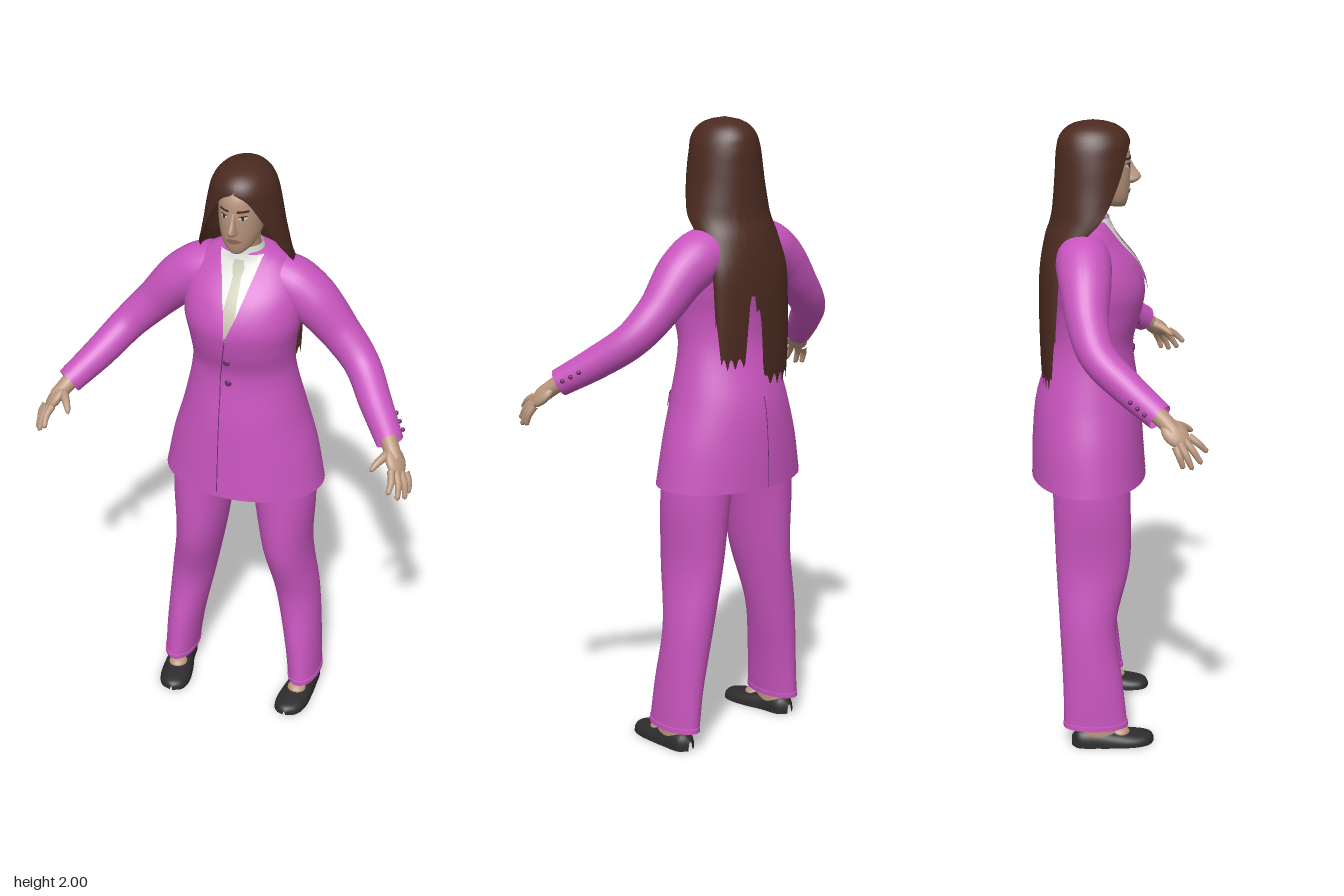
import * as THREE from 'three';
import { mergeVertices } from 'three/addons/utils/BufferGeometryUtils.js';

const { lerp, clamp } = THREE.MathUtils;
const mat = (name, color, side = THREE.FrontSide) => {
  const m = new THREE.MeshStandardMaterial({ color, side });
  m.name = name;
  return m;
};

// Smooth surface from a grid of points fn(u, v) -> [x, y, z]
function surface(nu, nv, fn) {
  const pos = [], idx = [];
  for (let j = 0; j <= nv; j++) for (let i = 0; i <= nu; i++) pos.push(...fn(i / nu, j / nv));
  for (let j = 0; j < nv; j++) for (let i = 0; i < nu; i++) {
    const a = j * (nu + 1) + i, b = a + 1, c = b + nu, d = c + 1;
    idx.push(a, b, d, a, d, c);
  }
  let g = new THREE.BufferGeometry();
  g.setAttribute('position', new THREE.Float32BufferAttribute(pos, 3));
  g.setIndex(idx);
  g = mergeVertices(g, 1e-5);
  g.computeVertexNormals();
  return g;
}

// Smoothly interpolate a table of rows whose first column ascends
function at(rows, k) {
  const n = rows.length - 1;
  k = clamp(k, rows[0][0], rows[n][0]);
  let i = 0;
  while (i < n - 1 && k > rows[i + 1][0]) i++;
  const slope = (q, c) => {
    const a = rows[Math.max(q - 1, 0)], b = rows[Math.min(q + 1, n)];
    return (b[c] - a[c]) / (b[0] - a[0]);
  };
  const h = rows[i + 1][0] - rows[i][0], t = (k - rows[i][0]) / h, t2 = t * t, t3 = t2 * t;
  return rows[i].map((p, c) => (2 * t3 - 3 * t2 + 1) * p + (t3 - 2 * t2 + t) * h * slope(i, c)
    + (3 * t2 - 2 * t3) * rows[i + 1][c] + (t3 - t2) * h * slope(i + 1, c));
}

// Stack of horizontal ellipses, rows [y, cx, cz, rx, rz]
function loft(rows, capLow, capHigh, nv = 40, nu = 40) {
  const y0 = rows[0][0], y1 = rows[rows.length - 1][0];
  return surface(nu, nv, (u, v) => {
    const j = Math.round(v * nv), y = lerp(y0, y1, clamp((j - 1) / (nv - 2), 0, 1));
    const [, cx, cz, rx, rz] = at(rows, y);
    const s = (j === 0 && capLow) || (j === nv && capHigh) ? 0 : 1;
    const a = (u === 1 ? 0 : u) * Math.PI * 2;
    return [cx + s * rx * Math.sin(a), y, cz + s * rz * Math.cos(a)];
  });
}

// Round limb along points [x, y, z, radius]
function limb(pts, side, nv = 24, nu = 20) {
  const curve = new THREE.CatmullRomCurve3(pts.map(p => new THREE.Vector3(p[0] * side, p[1], p[2])));
  const f = curve.computeFrenetFrames(nv), n = pts.length - 1;
  return surface(nu, nv, (u, v) => {
    const j = Math.round(v * nv), t = curve.getUtoTmapping(v) * n, i = Math.min(Math.floor(t), n - 1);
    const r = lerp(pts[i][3], pts[i + 1][3], t - i), a = (u === 1 ? 0 : u) * Math.PI * 2;
    return curve.getPointAt(v).addScaledVector(f.normals[j], r * Math.cos(a))
      .addScaledVector(f.binormals[j], r * Math.sin(a)).toArray();
  });
}

// Thin panel lying on a loft, rows [y, x0, x1]; face -1 puts it on the back
function strip(body, rows, off, face = 1) {
  const n = rows.length - 1;
  return surface(8, n * 6, (u, v) => {
    const i = Math.min(Math.floor(v * n), n - 1), t = v * n - i, a = rows[i], b = rows[i + 1];
    const y = lerp(a[0], b[0], t), x = lerp(lerp(a[1], b[1], t), lerp(a[2], b[2], t), u);
    const [, cx, cz, rx, rz] = at(body, y);
    return [x, y, cz + face * (rz * Math.sqrt(Math.max(0, 1 - ((x - cx) / rx) ** 2)) + off)];
  });
}
const flip = (rows, s) => s > 0 ? rows : rows.map(([y, a, b]) => [y, -b, -a]);

const JACKET = [
  [0.86, 0, -0.077, 0.263, 0.182], [1.0, 0, -0.08, 0.236, 0.175], [1.13, 0, -0.078, 0.2, 0.163],
  [1.3, 0, -0.063, 0.165, 0.127], [1.4, 0, -0.047, 0.17, 0.137], [1.48, 0, -0.047, 0.185, 0.147],
  [1.56, 0, -0.065, 0.185, 0.135], [1.63, 0, -0.085, 0.168, 0.1], [1.68, 0, -0.09, 0.12, 0.076],
  [1.705, 0, -0.08, 0.075, 0.06]];
const LEG = [
  [0.065, 0.222, -0.062, 0.053, 0.102], [0.2, 0.21, -0.07, 0.06, 0.096], [0.4, 0.183, -0.085, 0.073, 0.09],
  [0.6, 0.15, -0.068, 0.081, 0.117], [0.8, 0.137, -0.07, 0.1, 0.122], [0.95, 0.118, -0.075, 0.11, 0.12]];
const HEAD = [
  [1.733, 0, 0.015, 0.022, 0.024], [1.75, 0, -0.008, 0.044, 0.053], [1.78, 0, -0.03, 0.06, 0.081],
  [1.82, 0, -0.04, 0.068, 0.094], [1.87, 0, -0.045, 0.071, 0.099], [1.92, 0, -0.05, 0.068, 0.097],
  [1.96, 0, -0.055, 0.048, 0.07], [1.98, 0, -0.055, 0.02, 0.03]];
// rows [y, cz, rx, rz, angle of the front opening]
const HAIR = [
  [1.15, -0.185, 0.14, 0.038, 1.57], [1.3, -0.183, 0.15, 0.046, 1.57], [1.45, -0.175, 0.153, 0.056, 1.57],
  [1.55, -0.162, 0.153, 0.064, 1.57], [1.64, -0.11, 0.15, 0.1, 1.54], [1.7, -0.07, 0.145, 0.121, 1.4],
  [1.75, -0.065, 0.135, 0.12, 1.15], [1.8, -0.062, 0.125, 0.119, 0.95], [1.86, -0.06, 0.115, 0.117, 0.7],
  [1.9, -0.06, 0.107, 0.115, 0.5], [1.925, -0.058, 0.101, 0.113, 0.3], [1.94, -0.058, 0.095, 0.11, 0],
  [1.965, -0.058, 0.08, 0.095, 0], [1.988, -0.06, 0.05, 0.06, 0], [2.0, -0.06, 0.001, 0.001, 0]];
// rows [z, cx, height, half width]
const SHOE = [
  [-0.14, 0.225, 0.03, 0.008], [-0.12, 0.225, 0.054, 0.034], [-0.05, 0.222, 0.056, 0.043], [0, 0.216, 0.047, 0.05],
  [0.06, 0.21, 0.037, 0.053], [0.1, 0.206, 0.031, 0.044], [0.12, 0.204, 0.024, 0.026], [0.127, 0.203, 0.012, 0.004]];

export function createModel() {
  const group = new THREE.Group();
  const M = {
    suit: mat('suit magenta', 0xc855be, THREE.DoubleSide), seam: mat('seam purple', 0x6e2c69, THREE.DoubleSide),
    hair: mat('hair brown', 0x4b2a20, THREE.DoubleSide), skin: mat('skin', 0xb9967d),
    shirt: mat('shirt white', 0xe4e4e0, THREE.DoubleSide), tie: mat('tie sage', 0xc2c2ac),
    shoe: mat('shoe black', 0x2d2b2d), sole: mat('sole brown', 0x584a42),
    lips: mat('lips', 0x97695a), eye: mat('eye white', 0xd8d4cc)
  };
  const add = (name, geo, m) => {
    const mesh = new THREE.Mesh(geo, m);
    mesh.name = name;
    group.add(mesh);
    return mesh;
  };
  const ball = (name, m, p, r) => {
    const b = add(name, new THREE.SphereGeometry(1, 16, 12), m);
    b.position.set(...p);
    b.scale.set(...r);
    return b;
  };

  // Jacket, shirt and tie
  add('jacket', loft(JACKET, false, true, 60, 56), M.suit);
  add('shirtFront', strip(JACKET, [[1.455, -0.014, -0.01], [1.6, -0.045, 0.04], [1.7, -0.068, 0.068]], 0.003), M.shirt);
  add('shirtCollar', loft([[1.665, 0, -0.075, 0.07, 0.06], [1.7, 0, -0.073, 0.06, 0.056],
    [1.725, 0, -0.07, 0.054, 0.052]], false, false, 8), M.shirt);
  add('tie', strip(JACKET, [[1.46, -0.014, -0.006], [1.52, -0.026, 0.018], [1.64, -0.013, 0.013],
    [1.655, -0.018, 0.018], [1.685, -0.02, 0.02]], 0.007), M.tie);
  add('frontEdge', strip(JACKET, [[0.88, -0.042, -0.039], [1.3, -0.04, -0.037], [1.455, -0.014, -0.011]], 0.002), M.seam);
  add('backVent', strip(JACKET, [[0.862, -0.0015, 0.0015], [1.15, -0.0015, 0.0015]], 0.002, -1), M.seam);
  for (const y of [1.365, 1.28]) {
    const [, , cz, , rz] = at(JACKET, y);
    ball('frontButton', M.seam, [-0.013, y, cz + rz + 0.001], [0.011, 0.011, 0.005]);
  }
  add('chestPocket', strip(JACKET, [[1.482, 0.045, 0.145], [1.497, 0.045, 0.145]], 0.005), M.suit);
  for (const [x, h] of [[0.075, 0.03], [0.11, 0.036]])
    add('pocketSquare', strip(JACKET, [[1.497, x - 0.024, x + 0.024], [1.497 + h, x - 0.002, x + 0.002]], 0.008), M.suit);

  // Head, neck and face
  add('neck', loft([[1.66, 0, -0.075, 0.052, 0.052], [1.72, 0, -0.068, 0.047, 0.048], [1.79, 0, -0.06, 0.05, 0.055]],
    false, true, 12), M.skin);
  add('head', loft(HEAD, true, true), M.skin);
  add('nose', loft([[1.803, 0, 0.052, 0.007, 0.01], [1.812, 0, 0.056, 0.015, 0.024], [1.826, 0, 0.057, 0.012, 0.03],
    [1.85, 0, 0.053, 0.008, 0.017], [1.875, 0, 0.048, 0.006, 0.008]], true, true, 20, 20), M.skin);
  add('lips', strip(HEAD, [[1.773, -0.01, 0.01], [1.782, -0.026, 0.026], [1.79, -0.01, 0.01]], 0.003), M.lips);

  // Long hair, open around the face and ragged at the bottom, with a gap at the back
  const hairEnd = u => (u < 0.44 ? 1.24 : 1.17) + 0.22 * Math.exp(-(((u - 0.44) / 0.07) ** 4))
    + 0.04 * Math.abs(Math.sin(u * 37)) + 0.14 * Math.exp(-((Math.min(u, 1 - u) / 0.06) ** 2));
  add('hair', surface(72, 80, (u, v) => {
    const y = lerp(hairEnd(u), 2, v), [, cz, rx, rz, open] = at(HAIR, y), o = Math.max(0, open);
    const a = lerp(o, Math.PI * 2 - o, u);
    return [rx * Math.sin(a), y, cz + rz * Math.cos(a)];
  }), M.hair);

  for (const s of [1, -1]) {
    const side = rows => rows.map(r => [r[0], r[1] * s, ...r.slice(2)]);

    // Eyes and brows
    add('eye', strip(HEAD, flip([[1.856, 0.026, 0.032], [1.862, 0.016, 0.042], [1.869, 0.024, 0.036]], s), 0.002), M.eye);
    add('iris', strip(HEAD, flip([[1.857, 0.026, 0.032], [1.868, 0.025, 0.033]], s), 0.004), M.shoe);
    add('lash', strip(HEAD, flip([[1.867, 0.015, 0.043], [1.871, 0.022, 0.038]], s), 0.004), M.hair);
    add('brow', strip(HEAD, flip([[1.881, 0.012, 0.046], [1.888, 0.014, 0.044]], s), 0.004), M.hair);

    // Lapels, collar points and pocket flaps
    add('lapel', strip(JACKET, flip([[1.46, -0.012 * s, 0.004], [1.54, 0.02, 0.062], [1.635, 0.048, 0.1],
      [1.64, 0.05, 0.085], [1.695, 0.066, 0.09]], s), 0.008), M.suit);
    add('collarPoint', strip(JACKET, flip([[1.635, 0.034, 0.038], [1.66, 0.02, 0.052], [1.698, 0.012, 0.064]], s),
      0.009), M.shirt);
    add('pocketFlap', strip(JACKET, flip([[1.1, 0.078, 0.172], [1.108, 0.07, 0.18], [1.14, 0.07, 0.178]], s), 0.007), M.suit);

    // Sleeve and cuff buttons
    add('sleeve', limb([[0.08, 1.605, -0.095, 0.08], [0.15, 1.58, -0.093, 0.086], [0.215, 1.535, -0.09, 0.08],
      [0.3, 1.443, -0.085, 0.064], [0.38, 1.36, -0.055, 0.056], [0.45, 1.285, 0.03, 0.051],
      [0.522, 1.218, 0.122, 0.043]], s, 40, 28), M.suit);
    for (let i = 0; i < 3; i++)
      ball('cuffButton', M.seam, [(0.55 - i * 0.016) * s, 1.235 + i * 0.014, 0.075 - i * 0.02], [0.007, 0.007, 0.007]);

    // Hand
    add('wrist', limb([[0.505, 1.235, 0.1, 0.028], [0.525, 1.212, 0.13, 0.026], [0.552, 1.18, 0.163, 0.024]], s, 8), M.skin);
    const palm = add('palm', new THREE.SphereGeometry(1, 20, 14), M.skin);
    const long = new THREE.Vector3(0.4 * s, -0.67, 0.62).normalize();
    const across = new THREE.Vector3(-0.54 * s, 0.37, 0.75);
    across.addScaledVector(long, -across.dot(long)).normalize();
    const flat = new THREE.Vector3().crossVectors(long, across);
    palm.quaternion.setFromRotationMatrix(new THREE.Matrix4().makeBasis(long, across, flat));
    palm.position.set(0.553 * s, 1.178, 0.165);
    palm.scale.set(0.05, 0.038, 0.019);
    const tips = [[0.604, 1.085, 0.188], [0.6, 1.08, 0.215], [0.583, 1.092, 0.243], [0.557, 1.12, 0.262]];
    tips.forEach(([x, y, z], i) => {
      const b = [lerp(0.586, 0.55, i / 3), lerp(1.148, 1.168, i / 3), lerp(0.165, 0.205, i / 3)];
      add('finger', limb([[...b, 0.012], [(b[0] + x) / 2 + 0.005, (b[1] + y) / 2 + 0.004, (b[2] + z) / 2, 0.0105],
        [lerp(b[0], x, 0.94), lerp(b[1], y, 0.94), lerp(b[2], z, 0.94), 0.0075], [x, y, z, 0]], s, 14, 12), M.skin);
    });
    add('thumb', limb([[0.533, 1.198, 0.15, 0.016], [0.508, 1.185, 0.188, 0.0125], [0.492, 1.168, 0.215, 0.008],
      [0.488, 1.163, 0.222, 0]], s, 14, 12), M.skin);

    // Trouser leg, ankle and shoe
    add('trouserLeg', loft(side(LEG), false, true), M.suit);
    add('trouserHem', loft(side([[0.065, 0.222, -0.062, 0.055, 0.104], [0.082, 0.221, -0.062, 0.055, 0.104]]),
      false, true, 6), M.suit);
    add('ankle', loft(side([[0.02, 0.222, -0.055, 0.036, 0.068], [0.11, 0.222, -0.06, 0.036, 0.05]]), true, true, 8), M.skin);
    ball('instep', M.skin, [0.215 * s, 0.035, 0.015], [0.032, 0.021, 0.034]);
    const shoe = fn => surface(20, 36, (u, v) => {
      const [z, cx, h, w] = at(SHOE, lerp(-0.14, 0.127, v));
      return fn(u, cx * s, h, w, z);
    });
    add('shoe', shoe((u, cx, h, w, z) =>
      [cx + w * Math.cos(u * Math.PI), h * Math.max(0, Math.sin(u * Math.PI)) ** 0.7, z]), M.shoe);
    add('sole', shoe((u, cx, h, w, z) => [cx + w * (2 * u - 1), 0, z]), M.sole);
  }
  return group;
}
